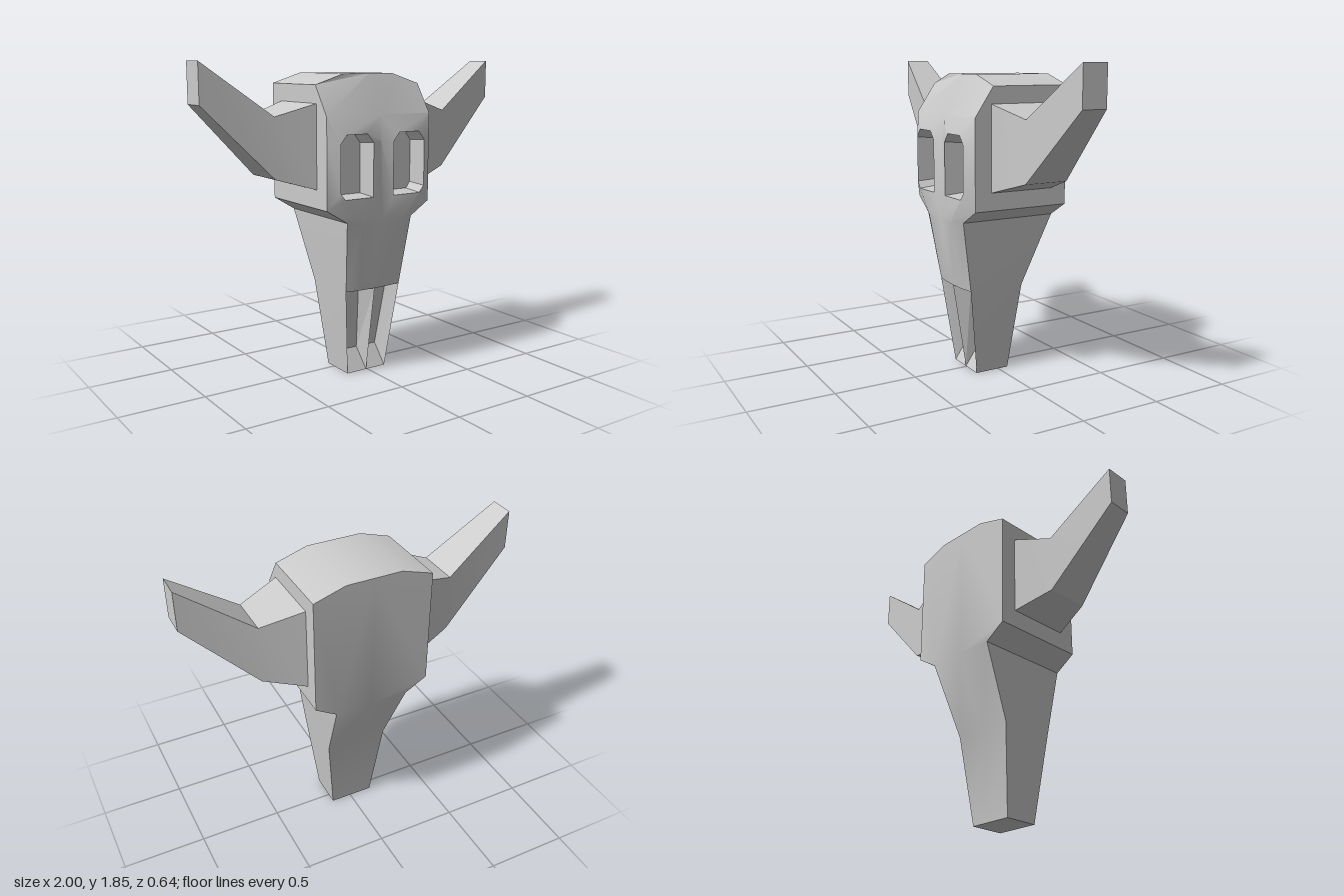
import * as THREE from 'three';
import { toCreasedNormals } from 'three/addons/utils/BufferGeometryUtils.js';

const material = new THREE.MeshStandardMaterial({ color: 0xcccccc });

// Fan-triangulates polygons; optionally adds their mirror image across x = 0.
function meshFromPolygons(name, polygons, { keep = true, mirror = false, crease = 0.6 } = {}) {
  const positions = [];
  const fan = (poly) => {
    for (let i = 1; i < poly.length - 1; i++) positions.push(...poly[0], ...poly[i], ...poly[i + 1]);
  };
  for (const poly of polygons) {
    if (keep) fan(poly);
    if (mirror) fan(poly.map(([x, y, z]) => [-x, y, z]).reverse());
  }
  const geometry = new THREE.BufferGeometry();
  geometry.setAttribute('position', new THREE.Float32BufferAttribute(positions, 3));
  const mesh = new THREE.Mesh(toCreasedNormals(geometry, crease), material);
  mesh.name = name;
  return mesh;
}

// Quads between two loops of equal length.
const band = (a, b) => a.map((p, i) => {
  const j = (i + 1) % a.length;
  return [p, a[j], b[j], b[i]];
});

function createSkull() {
  // Crown
  const B0 = [0, 1.78, -0.32], B1 = [0.165, 1.78, -0.32], B2 = [0.355, 1.72, -0.32];
  const T0 = [0, 1.78, 0.165], T1 = [0.165, 1.78, 0.165], T2 = [0.355, 1.72, 0.165];
  // Face border around one eye, counterclockwise from the middle of the muzzle
  const S = [
    [0, 0.95, 0.315], [0.14, 0.95, 0.32], [0.355, 1.03, 0.28], [0.355, 1.42, 0.28],
    [0.355, 1.55, 0.28], [0, 1.55, 0.285], [0, 1.4, 0.295],
  ];
  // Eye rim and its sunken floor
  const rim = [[0.07, 1.09], [0.26, 1.09], [0.29, 1.13], [0.29, 1.4], [0.25, 1.45], [0.11, 1.45], [0.07, 1.4]]
    .map(([x, y]) => [x, y, 0.32]);
  const floor = rim.map(([x, y]) => [0.18 + (x - 0.18) * 0.9, 1.265 + (y - 1.265) * 0.93, 0.2]);
  // Neck, muzzle and tip
  const N = [0.225, 0.95, 0.285], NB = [0.225, 0.95, -0.315], NB0 = [0, 0.95, -0.315];
  const OB = [0.355, 1.03, -0.32];
  const M0 = [0, 0.53, 0.235], Mm = [0.11, 0.53, 0.232], M1 = [0.19, 0.53, 0.218];
  const MB0 = [0, 0.53, -0.13], MB = [0.19, 0.53, -0.13];
  const F0 = [0, 0, 0.15], F1 = [0.135, 0, 0.15], K0 = [0, 0, -0.065], K1 = [0.135, 0, -0.065];
  // Floor of the groove in the muzzle
  const C0 = [0.025, 0.13, 0.08], C1 = [0.112, 0.13, 0.08], D0 = [0.05, 0.53, 0.14], D1 = [0.148, 0.53, 0.14];

  const outside = [
    [B0, T0, T1, B1], [T1, T2, B2, B1], [S[5], S[4], T2, T1, T0], // crown and forehead
    ...band(S, rim).slice(0, 5), band(S, rim)[5], band(S, rim)[6].slice(0), // face
    [M0, Mm, S[1], S[0]], [Mm, M1, N, S[1]], [S[1], N, S[2]], // upper muzzle
    [OB, B2, T2, S[4], S[3], S[2]], [N, NB, OB, S[2]], // cheek
    [M1, MB, NB, N], [F1, K1, MB, M1], // muzzle side
    [K1, K0, MB0, MB], [MB, MB0, NB0, NB], [NB, NB0, B0, B1, B2, OB], // back
    [K0, K1, F1, F0], // tip
  ].filter((p) => p !== undefined);
  // The seam between the two face borders lies on the mirror plane
  const eye = [...band(rim, floor), floor];
  const grooves = [
    [D0, D1, M1, Mm, M0], [F0, C0, D0, M0], [C0, C1, D1, D0], [C1, F1, M1, D1], [F0, F1, C1, C0],
  ];

  const skull = new THREE.Group();
  skull.name = 'skull';
  skull.add(
    meshFromPolygons('cranium', outside, { mirror: true }),
    meshFromPolygons('eyeSockets', eye, { mirror: true, crease: 0.3 }),
    meshFromPolygons('muzzleGrooves', grooves, { mirror: true, crease: 0.2 }),
  );
  skull.position.x = -0.008;
  return skull;
}

// Four-sided horn lofted through rectangular sections: x, y range, z range
function createHorn(name, isRight) {
  const sections = [
    [0.34, 1.13, 1.625, -0.225, 0.18],
    [0.59, 1.205, 1.55, -0.155, 0.11],
    [1, 1.62, 1.85, -0.1, 0.05],
  ].map(([x, y0, y1, z0, z1]) => [[x, y0, z1], [x, y0, z0], [x, y1, z0], [x, y1, z1]]);
  const polygons = [
    ...band(sections[0], sections[1]), ...band(sections[1], sections[2]),
    sections[2], [...sections[0]].reverse(),
  ];
  return meshFromPolygons(name, polygons, { keep: !isRight, mirror: isRight, crease: 0.2 });
}

export function createModel() {
  const model = new THREE.Group();
  model.name = 'hornedSkull';
  model.add(createSkull(), createHorn('leftHorn', false), createHorn('rightHorn', true));
  return model;
}
